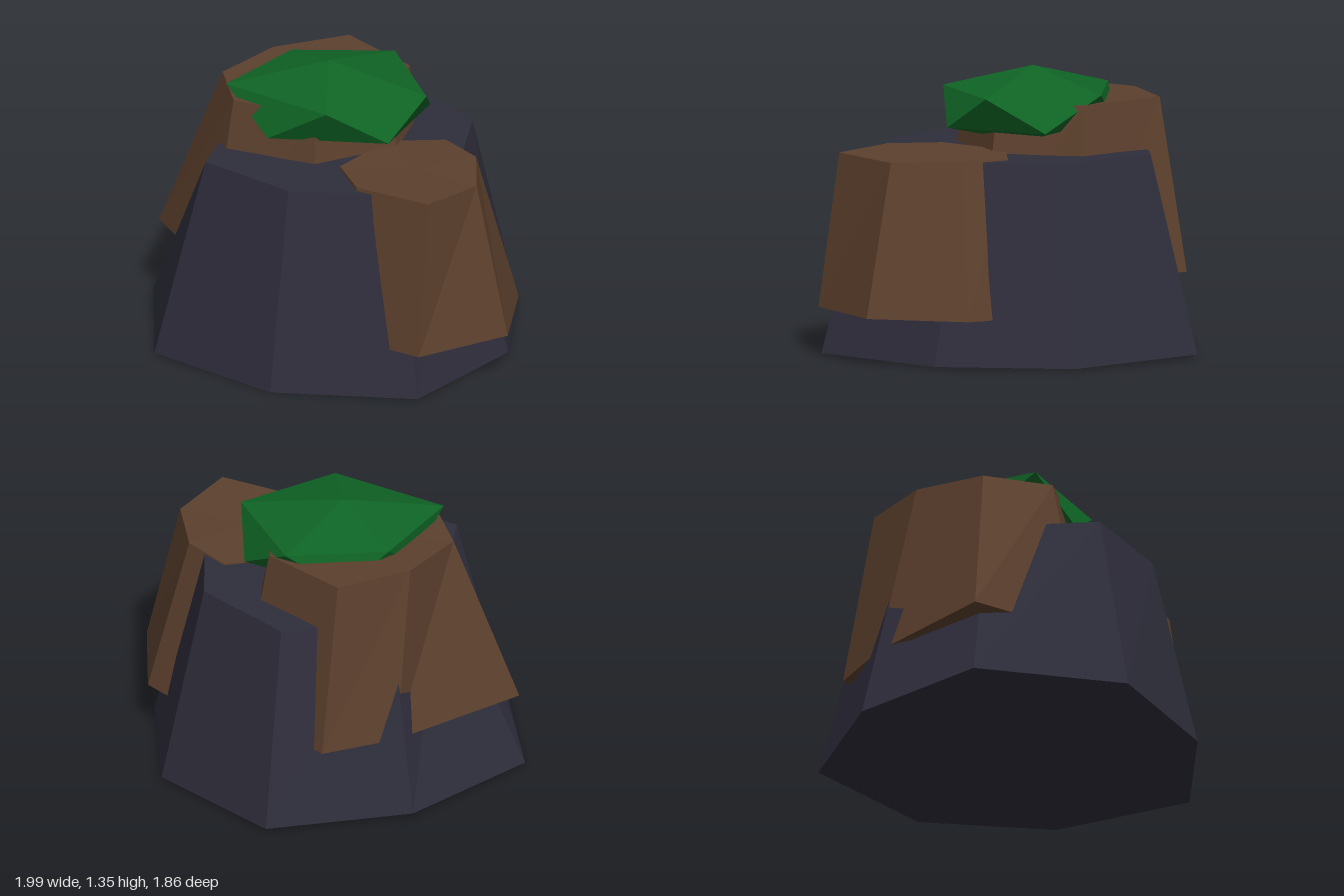
import * as THREE from 'three';

const paint = (name, color) => {
  const m = new THREE.MeshStandardMaterial({ color, flatShading: true });
  m.name = name;
  return m;
};

function facetMesh(name, triangles, material) {
  const geometry = new THREE.BufferGeometry();
  geometry.setAttribute('position', new THREE.Float32BufferAttribute(triangles.flat(2), 3));
  geometry.computeVertexNormals();
  const mesh = new THREE.Mesh(geometry, material);
  mesh.name = name;
  return mesh;
}

const centre = (ring) => [0, 1, 2].map((k) => ring.reduce((s, p) => s + p[k], 0) / ring.length);

// Tapered boulder between two rings of [x, y, z] corners, closed at both ends
function boulder(name, bottom, top, material) {
  const low = centre(bottom), high = centre(top), triangles = [];
  bottom.forEach((b, i) => {
    const j = (i + 1) % bottom.length;
    triangles.push([b, top[i], bottom[j]], [bottom[j], top[i], top[j]],
      [high, top[j], top[i]], [low, b, bottom[j]]);
  });
  return facetMesh(name, triangles, material);
}

// Twenty-sided clump: two staggered rings and two tips
function clump(name, tip, upper, lower, base, material) {
  const triangles = [];
  upper.forEach((h, i) => {
    const j = (i + 1) % upper.length;
    triangles.push([tip, upper[j], h], [h, upper[j], lower[i]],
      [lower[i], upper[j], lower[j]], [base, lower[i], lower[j]]);
  });
  return facetMesh(name, triangles, material);
}

export function createModel() {
  const slate = paint('slate', 0x2e2d3b);
  const earth = paint('earth brown', 0x5c402d);
  const leaf = paint('moss green', 0x0f6425);
  const group = new THREE.Group();
  group.name = 'mossyRock';

  // Large central stone
  group.add(boulder('mainRock',
    [[0.86, 0.01, 0.05], [0.69, 0.01, 0.74], [0, 0, 0.93], [-0.69, 0.01, 0.74],
      [-1, 0.02, 0.05], [-0.63, 0.02, -0.58], [0, 0.02, -0.93], [0.63, 0.01, -0.58]],
    [[0.6, 0.97, 0.03], [0.5, 0.97, 0.56], [0, 0.965, 0.71], [-0.5, 0.97, 0.56],
      [-0.585, 0.96, 0.03], [-0.47, 0.965, -0.41], [0, 0.975, -0.68], [0.47, 0.97, -0.41]],
    slate));

  // Taller brown stone at the back
  group.add(boulder('backRock',
    [[-0.23, 0.38, -0.76], [0.27, 0.38, -0.47], [0.4, 0.38, 0.04], [0.03, 0.38, 0.45],
      [-0.52, 0.38, 0.48], [-0.97, 0.385, 0.05], [-0.53, 0.38, -0.52]],
    [[-0.26, 1.215, -0.6], [0.15, 1.21, -0.39], [0.22, 1.2, 0.03], [-0.03, 1.2, 0.33],
      [-0.46, 1.205, 0.32], [-0.65, 1.2, 0.02], [-0.54, 1.21, -0.33]],
    earth));

  // Lower brown stone at the side
  group.add(boulder('sideRock',
    [[0.84, 0.235, -0.12], [0.99, 0.24, 0.35], [0.7, 0.235, 0.75], [0.22, 0.24, 0.68],
      [0.03, 0.24, 0.4], [0.15, 0.24, -0.1], [0.62, 0.23, -0.25]],
    [[0.67, 0.98, 0], [0.81, 0.975, 0.31], [0.7, 0.99, 0.64], [0.3, 0.985, 0.58],
      [0.12, 0.98, 0.37], [0.2, 0.98, 0], [0.45, 0.975, -0.14]],
    earth));

  // Flattened green clump on top
  group.add(clump('mossCap', [-0.1, 1.35, 0],
    [[0.41, 1.25, 0], [0.06, 1.25, 0.4], [-0.53, 1.25, 0.25], [-0.41, 1.25, -0.25], [0.05, 1.25, -0.44]],
    [[0.32, 1.085, 0.25], [-0.25, 1.07, 0.39], [-0.46, 1.08, -0.02], [-0.22, 1.08, -0.38], [0.31, 1.085, -0.27]],
    [-0.1, 0.97, 0], leaf));

  return group;
}
